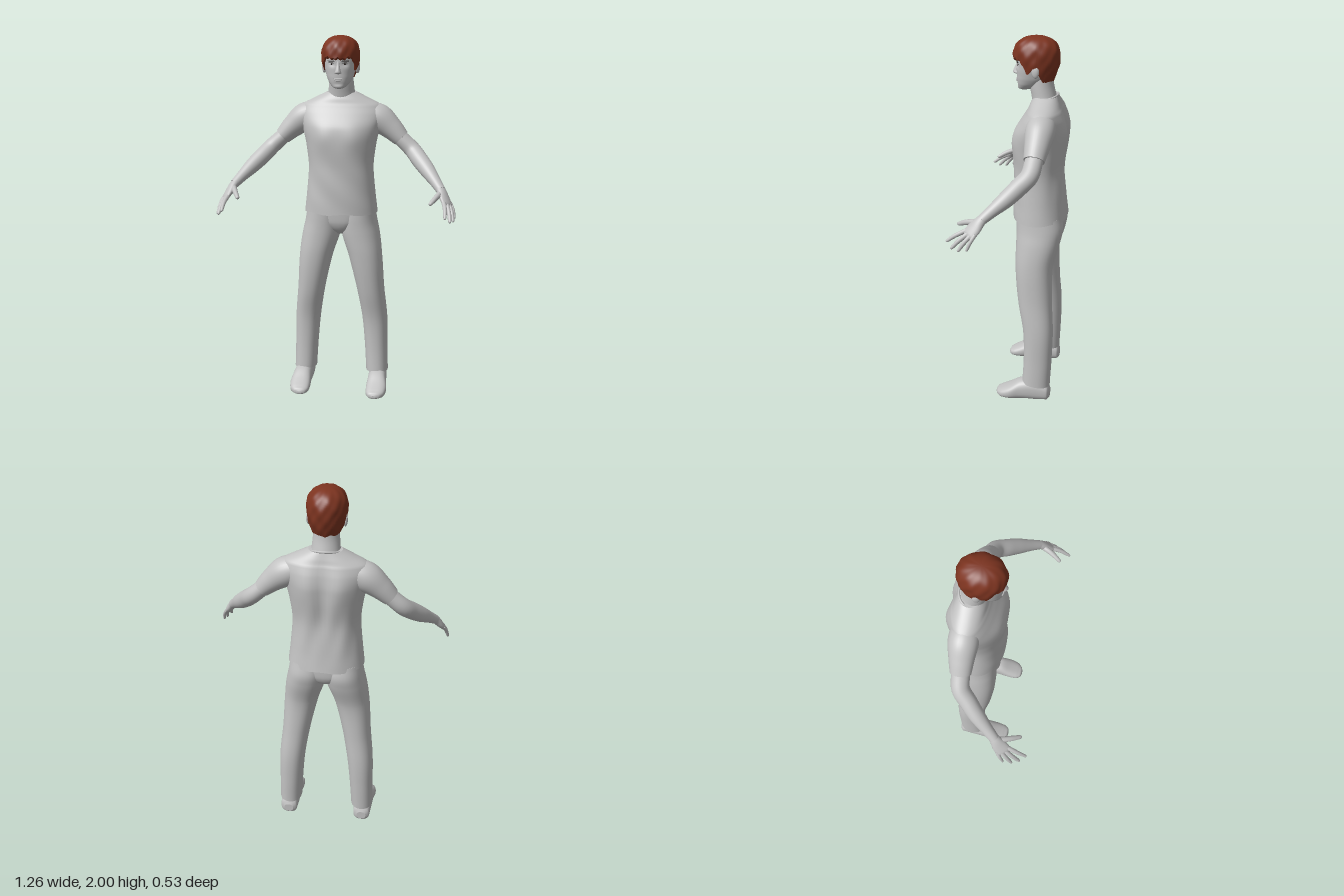
import * as THREE from 'three';

const mat = (name, color, side = THREE.FrontSide) => {
  const m = new THREE.MeshStandardMaterial({ color, side });
  m.name = name;
  return m;
};
const V = (x, y, z) => new THREE.Vector3(x, y, z);
const bump = (d, w) => Math.exp(-(d * d) / (w * w));

// Smooth skin over cross-sections [x, y, z, halfWidth, halfDepth], closed at both ends.
// side: direction of the half width; axis: fixed ring normal; power: squareness; tweak moves points.
function loft(rows, { side = V(1, 0, 0), axis, power = 2, n = 32, steps = 5, tweak } = {}) {
  const path = new THREE.CatmullRomCurve3(rows.map(r => V(r[0], r[1], r[2])));
  const size = new THREE.CatmullRomCurve3(rows.map(r => V(r[3], r[4], 0)));
  const m = (rows.length - 1) * steps, pos = [], idx = [];
  const rounded = s => Math.sign(s) * Math.abs(s) ** (2 / power);
  for (let i = 0; i <= m; i++) {
    const t = i / m, c = path.getPoint(t), r = size.getPoint(t);
    const T = axis || path.getTangent(t);
    const A = side.clone().addScaledVector(T, -side.dot(T)).normalize();
    const B = T.clone().cross(A);
    for (let j = 0; j < n; j++) {
      const a = j / n * Math.PI * 2;
      const p = c.clone().addScaledVector(A, r.x * rounded(Math.cos(a))).addScaledVector(B, r.y * rounded(Math.sin(a)));
      if (tweak) tweak(p, a, t);
      pos.push(p.x, p.y, p.z);
      if (i < m) {
        const k = (j + 1) % n, q = i * n;
        idx.push(q + j, q + k, q + n + j, q + k, q + n + k, q + n + j);
      }
    }
  }
  for (const end of [0, m]) { // caps with their own points, so rims stay crisp
    const base = pos.length / 3, mid = V(0, 0, 0);
    for (let j = 0; j < n; j++) {
      const p = V(...pos.slice((end * n + j) * 3, (end * n + j) * 3 + 3));
      mid.addScaledVector(p, 1 / n);
      pos.push(p.x, p.y, p.z);
    }
    pos.push(mid.x, mid.y, mid.z);
    for (let j = 0; j < n; j++) {
      const k = (j + 1) % n;
      idx.push(base + n, base + (end ? j : k), base + (end ? k : j));
    }
  }
  const g = new THREE.BufferGeometry();
  g.setAttribute('position', new THREE.Float32BufferAttribute(pos, 3));
  g.setIndex(idx);
  g.computeVertexNormals();
  return g;
}

// Upright skin from rows [y, xMin, xMax, zFront, zBack], lowest row first
const stack = (rows, opts) => loft(
  rows.map(([y, a, b, f, k]) => [(a + b) / 2, y, (f + k) / 2, (b - a) / 2, (f - k) / 2]),
  { axis: V(0, 1, 0), ...opts });

const ball = (x, y, z, sx, sy, sz, turn = 0) =>
  new THREE.SphereGeometry(1, 16, 12).scale(sx, sy, sz).rotateY(turn).translate(x, y, z);

function mirrored(g) {
  const r = g.clone().scale(-1, 1, 1), a = r.index.array;
  for (let i = 0; i < a.length; i += 3) [a[i + 1], a[i + 2]] = [a[i + 2], a[i + 1]];
  return r;
}

export function createModel() {
  const model = new THREE.Group();
  model.name = 'standingMan';
  const grey = mat('plainGrey', 0xc2c2c2);
  const auburn = mat('auburnHair', 0x7d3420, THREE.DoubleSide);
  const dark = mat('darkBrown', 0x2c2623);
  const white = mat('eyeWhite', 0xd0d0d0);
  const add = (name, g, m = grey) => {
    const mesh = new THREE.Mesh(g, m);
    mesh.name = name;
    model.add(mesh);
  };
  const pair = (name, g, m = grey) => {
    add(name + 'Left', g, m);
    add(name + 'Right', mirrored(g), m);
  };

  // Shirt body with spine groove, shoulder blades and soft folds
  add('shirt', stack([
    [1.05, -.202, .202, .03, -.262], [1.15, -.19, .19, .03, -.25], [1.3, -.178, .178, .028, -.24],
    [1.43, -.192, .192, .034, -.252], [1.52, -.212, .212, .022, -.252], [1.59, -.228, .228, -.018, -.24],
    [1.635, -.212, .212, -.045, -.226], [1.67, -.145, .145, -.06, -.212], [1.7, -.085, .085, -.076, -.2],
  ], {
    power: 2.15, n: 64, steps: 6, tweak: (p) => {
      const x = Math.abs(p.x);
      const back = THREE.MathUtils.smoothstep(-p.z, .14, .22), front = THREE.MathUtils.smoothstep(p.z, -.08, 0);
      p.z += back * (.02 * bump(p.x, .035) * bump(p.y - 1.42, .2)
        - .012 * bump(x - .09, .05) * bump(p.y - 1.53, .09)
        + .004 * Math.sin(p.x * 60 + p.y * 9) * bump(p.y - 1.25, .12));
      p.z += front * (.008 * bump(x - .085, .05) * bump(p.y - 1.47, .06)
        + .003 * Math.sin(p.x * 30 + p.y * 28) * bump(p.y - 1.2, .14));
      if (p.y < 1.08) p.y += .004 * Math.sin(p.x * 32 + p.z * 20) * (1.08 - p.y) / .03;
    },
  }));
  add('collar', new THREE.TorusGeometry(1, .08, 8, 48).rotateX(Math.PI / 2)
    .scale(.08, .075, .068).rotateX(.27).translate(0, 1.688, -.132));

  // Sleeves and arms
  pair('sleeve', loft([
    [.06, 1.602, -.137, .055, .05], [.13, 1.588, -.137, .07, .066], [.2, 1.562, -.136, .076, .077],
    [.27, 1.509, -.131, .064, .062], [.326, 1.455, -.125, .053, .047],
  ], { side: V(0, 0, 1), steps: 7 }));
  pair('arm', loft([
    [.26, 1.515, -.13, .045, .042], [.33, 1.45, -.124, .046, .042], [.388, 1.397, -.112, .046, .044],
    [.43, 1.352, -.066, .045, .045], [.475, 1.306, -.014, .041, .041], [.52, 1.258, .047, .031, .03],
    [.552, 1.222, .092, .026, .024],
  ], { side: V(.5, -.2, -.85) }));

  // Hands
  const across = V(.037, -.013, -.06);
  pair('palm', loft([
    [.54, 1.236, .075, .024, .022], [.555, 1.217, .097, .029, .022], [.572, 1.187, .122, .038, .019],
    [.587, 1.16, .146, .039, .014], [.592, 1.151, .154, .032, .008],
  ], { side: across, n: 24 }));
  const fingers = [
    ['thumb', [.548, 1.208, .115], [.5, 1.173, .222], .014],
    ['indexFinger', [.569, 1.168, .166], [.58, 1.11, .264], .0105],
    ['middleFinger', [.583, 1.161, .15], [.606, 1.085, .235], .011],
    ['ringFinger', [.594, 1.157, .134], [.622, 1.08, .197], .0105],
    ['littleFinger', [.602, 1.157, .117], [.628, 1.088, .153], .009],
  ];
  for (const [name, a, b, r] of fingers) {
    const at = (t, k, lift = 0) => [
      a[0] + (b[0] - a[0]) * t + lift * .6, a[1] + (b[1] - a[1]) * t + lift, a[2] + (b[2] - a[2]) * t, r * k, r * k];
    pair(name, loft([at(-.1, 1.1), at(.3, 1.05, .005), at(.6, .95, .005), at(.9, .75), at(.98, .5), at(1, .1)],
      { side: across, n: 12, steps: 3 }));
  }

  // Trousers: hips joined to two flared legs
  add('hips', stack([
    [.925, -.03, .03, -.06, -.17], [.955, -.085, .085, -.022, -.215], [1.0, -.15, .15, -.004, -.236],
    [1.07, -.187, .187, 0, -.238],
  ], { power: 2.3, n: 40 }));
  pair('trouserLeg', stack([
    [.1, .147, .272, -.05, -.205], [.25, .138, .268, -.057, -.212], [.42, .122, .264, -.052, -.215],
    [.6, .092, .246, -.02, -.204], [.8, .045, .232, -.001, -.203], [.93, .003, .215, 0, -.236],
    [1.0, -.005, .2, 0, -.248], [1.07, 0, .188, 0, -.236],
  ], {
    power: 2.2, n: 40, steps: 6, tweak: (p) => {
      if (p.y < .16) p.y += .1 * (p.z + .13) * (.16 - p.y) / .06;
    },
  }));

  // Shoes, rows [z, xCentre, halfWidth, yBottom, yTop]
  pair('shoe', loft([
    [-.207, .214, .026, .02, .07], [-.192, .214, .046, .005, .1], [-.12, .215, .051, 0, .125],
    [-.04, .217, .053, 0, .115], [.02, .219, .058, 0, .08], [.065, .216, .051, .003, .056],
    [.09, .212, .032, .01, .042], [.097, .211, .012, .016, .03],
  ].map(([z, x, w, a, b]) => [x, (a + b) / 2, z, w, (b - a) / 2]), { axis: V(0, 0, 1), power: 2.5 }));

  // Neck and head
  add('neck', stack([
    [1.64, -.085, .085, -.07, -.205], [1.7, -.072, .072, -.06, -.188], [1.76, -.066, .066, -.05, -.174],
    [1.83, -.06, .06, -.05, -.17],
  ], { n: 32 }));
  add('head', stack([
    [1.728, -.018, .018, -.002, -.04], [1.735, -.034, .034, .01, -.07], [1.758, -.055, .055, .014, -.115],
    [1.79, -.071, .071, .015, -.15], [1.83, -.081, .081, .016, -.17], [1.87, -.086, .086, .016, -.182],
    [1.92, -.086, .086, .014, -.185], [1.96, -.068, .068, -.01, -.165], [1.98, -.03, .03, -.05, -.12],
  ], {
    power: 2.25, n: 72, tweak: (p) => {
      if (p.z < -.05) return;
      p.z -= .008 * bump(Math.abs(p.x) - .035, .018) * bump(p.y - 1.856, .012); // eye sockets
      p.z -= .004 * bump(p.y - 1.755, .01) * bump(p.x, .03);
    },
  }));
  add('nose', stack([
    [1.805, -.01, .01, .02, -.005], [1.812, -.018, .018, .036, -.005], [1.824, -.014, .014, .035, -.005],
    [1.85, -.01, .01, .022, -.005], [1.875, -.01, .01, .015, -.005],
  ], { n: 16 }));
  pair('ear', ball(.089, 1.836, -.092, .012, .033, .02, -.3));
  add('upperLip', ball(0, 1.782, .012, .027, .0045, .008));
  add('lowerLip', ball(0, 1.773, .012, .023, .0055, .008));
  pair('eye', ball(.035, 1.856, .0015, .015, .005, .005, .25), white);
  pair('iris', ball(.035, 1.856, .0045, .005, .005, .0035, .25), dark);
  pair('eyelid', ball(.035, 1.8615, .0035, .017, .002, .005, .25), dark);
  pair('eyebrow', ball(.037, 1.872, .0075, .021, .003, .004, .3), dark);

  // Hair: a clumpy cap whose lower edge follows the hairline; entries [degrees from front, y]
  const hairline = [[0, 1.89], [18, 1.885], [34, 1.895], [46, 1.888], [58, 1.868], [68, 1.822], [78, 1.825],
    [86, 1.855], [97, 1.852], [110, 1.79], [130, 1.77], [181, 1.764]];
  const edgeAt = deg => {
    const i = Math.max(1, hairline.findIndex(h => h[0] > deg));
    const [a, b] = [hairline[i - 1], hairline[i]];
    return a[1] + (b[1] - a[1]) * (deg - a[0]) / (b[0] - a[0]);
  };
  add('hair', loft([[0, 1.76, 0, 1, 1], [0, 1.9, 0, 1, 1], [0, 2, 0, 1, 1]], {
    axis: V(0, 1, 0), n: 96, steps: 14, tweak: (p, a, t) => {
      const x = Math.cos(a), z = -Math.sin(a);
      const deg = Math.abs(Math.atan2(x, z)) * 180 / Math.PI;
      const low = edgeAt(deg) + .004 * Math.sin(a * 23);
      const y = low + (2 - low) * Math.sin(t * Math.PI / 2);
      const up = Math.min(1, Math.max(0, (y - 1.9) / .1)), down = Math.max(0, (1.9 - y) / .13);
      let r = Math.max(.001, 1 - up ** 2.3) ** (1 / 2.3) * (1 - .3 * down * down);
      r *= 1 + .016 * Math.sin(a * 7 + y * 55) + .014 * Math.sin(a * 11 - y * 80);
      p.set(x * r * .101, y, -.085 + z * r * .119);
    },
  }), auburn);

  return model;
}
